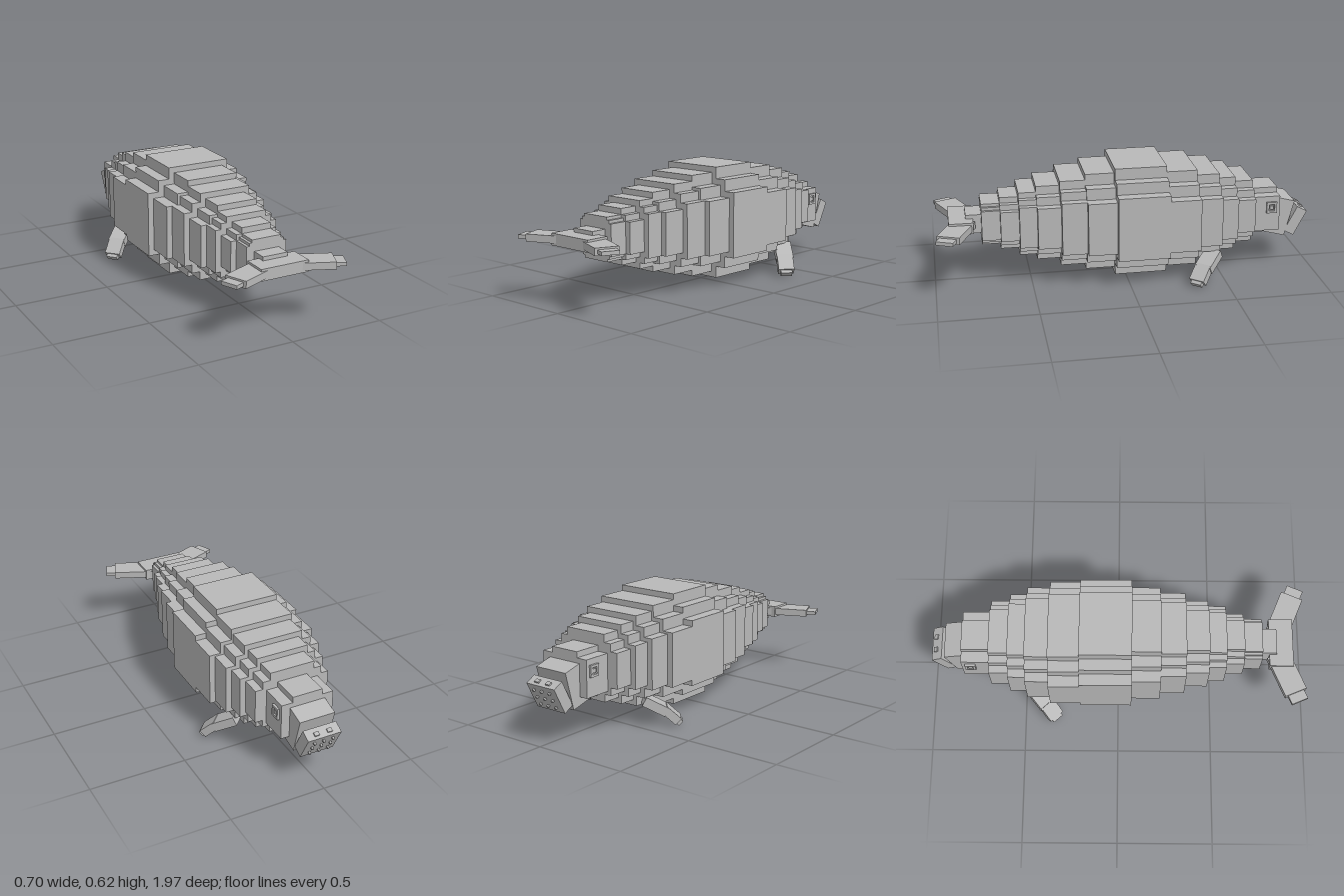
import * as THREE from 'three';

export function createModel() {
  const model = new THREE.Group();
  const skin = new THREE.MeshStandardMaterial({ color: 0xb8b8b8 });
  skin.name = 'grey skin';
  const midY = 0.33;

  function box(name, parent, w, h, d, x = 0, y = 0, z = 0) {
    const m = new THREE.Mesh(new THREE.BoxGeometry(w, h, d), skin);
    m.name = name;
    m.position.set(x, y, z);
    parent.add(m);
    return m;
  }

  // Body: stepped slices [z start, z end, half width, half height, step]
  const slices = [
    [-0.67, -0.57, 0.20, 0.17, 0.08],
    [-0.57, -0.48, 0.23, 0.20, 0.09],
    [-0.48, -0.36, 0.26, 0.23, 0.10],
    [-0.36, -0.20, 0.29, 0.26, 0.12],
    [-0.20, 0.07, 0.29, 0.29, 0.12],
    [0.07, 0.22, 0.26, 0.26, 0.12],
    [0.22, 0.35, 0.23, 0.23, 0.09],
    [0.35, 0.47, 0.20, 0.20, 0.09],
    [0.47, 0.56, 0.17, 0.17, 0.06],
    [0.56, 0.655, 0.14, 0.14, 0.06],
    [0.655, 0.75, 0.11, 0.11, 0.03],
  ];
  const body = new THREE.Group();
  body.name = 'body';
  model.add(body);
  for (const [z0, z1, hw, hh, step] of slices) {
    for (const t of [0, 0.5, 1]) {
      box('bodySlice', body, 2 * (hw - step * t), 2 * (hh - step * (1 - t)), z1 - z0, 0, midY, (z0 + z1) / 2);
    }
  }

  // Head
  const head = new THREE.Group();
  head.name = 'head';
  model.add(head);
  box('headSides', head, 0.28, 0.19, 0.15, 0, 0.315, -0.743);
  box('headCore', head, 0.16, 0.25, 0.15, 0, 0.315, -0.743);

  // Snout, tilted down
  const snout = box('snout', head, 0.19, 0.2, 0.12, 0, 0.278, -0.83);
  snout.rotation.x = -0.26;

  // Muzzle pad with nostrils and whisker stubs
  const muzzle = new THREE.Group();
  muzzle.name = 'muzzle';
  muzzle.position.set(0, 0.243, -0.925);
  muzzle.rotation.x = -0.48;
  head.add(muzzle);
  box('muzzlePad', muzzle, 0.18, 0.15, 0.06);
  for (const x of [-0.035, 0.035]) box('nostril', muzzle, 0.025, 0.02, 0.02, x, 0.073, -0.005);
  for (const x of [-0.05, 0, 0.05]) {
    for (const y of [-0.045, 0, 0.045]) box('whisker', muzzle, 0.01, 0.01, 0.02, x, y, -0.033);
  }

  // Tail stock and fluke centre
  const tail = new THREE.Group();
  tail.name = 'tail';
  model.add(tail);
  box('tailStock', tail, 0.135, 0.1, 0.09, 0, midY, 0.785);
  box('flukeCentre', tail, 0.26, 0.06, 0.125, 0, midY, 0.855);

  // Box running from point a to b, with a given chord direction
  function limb(name, parent, a, b, chord, width, thick) {
    const span = b.clone().sub(a);
    const m = box(name, parent, span.length(), thick, width);
    const x = span.normalize();
    const z = chord.clone().addScaledVector(x, -chord.dot(x)).normalize();
    const y = z.clone().cross(x);
    m.quaternion.setFromRotationMatrix(new THREE.Matrix4().makeBasis(x, y, z));
    m.position.copy(a).add(b).multiplyScalar(0.5);
  }
  const v = (x, y, z) => new THREE.Vector3(x, y, z);

  for (const [side, s] of [['left', 1], ['right', -1]]) {
    // Fluke
    const back = v(-0.39 * s, 0, 0.92);
    limb(side + 'Fluke', tail, v(0.06 * s, midY, 0.837), v(0.27 * s, midY, 0.925), back, 0.12, 0.037);
    limb(side + 'FlukeTip', tail, v(0.25 * s, midY, 0.917), v(0.316 * s, midY, 0.945), back, 0.09, 0.019);

    // Flipper, swept outward, down and back
    const flipper = new THREE.Group();
    flipper.name = side + 'Flipper';
    model.add(flipper);
    const chord = v(-0.68 * s, 0, 0.73);
    limb('upperFlipper', flipper, v(0.186 * s, 0.135, -0.455), v(0.268 * s, 0.076, -0.38), chord, 0.09, 0.048);
    limb('lowerFlipper', flipper, v(0.258 * s, 0.09, -0.388), v(0.31 * s, 0.025, -0.34), chord, 0.085, 0.043);
    limb('flipperTip', flipper, v(0.3 * s, 0.037, -0.349), v(0.32 * s, 0.012, -0.331), chord, 0.06, 0.03);

    // Eye: raised frame with a recessed pupil
    const eye = new THREE.Group();
    eye.name = side + 'Eye';
    eye.position.set(0.144 * s, 0.35, -0.772);
    head.add(eye);
    for (const k of [-1, 1]) {
      box('eyelid', eye, 0.016, 0.012, 0.055, 0, 0.024 * k, 0);
      box('eyeCorner', eye, 0.016, 0.048, 0.012, 0, 0, 0.021 * k);
    }
    box('pupil', eye, 0.01, 0.02, 0.02);
  }
  return model;
}
